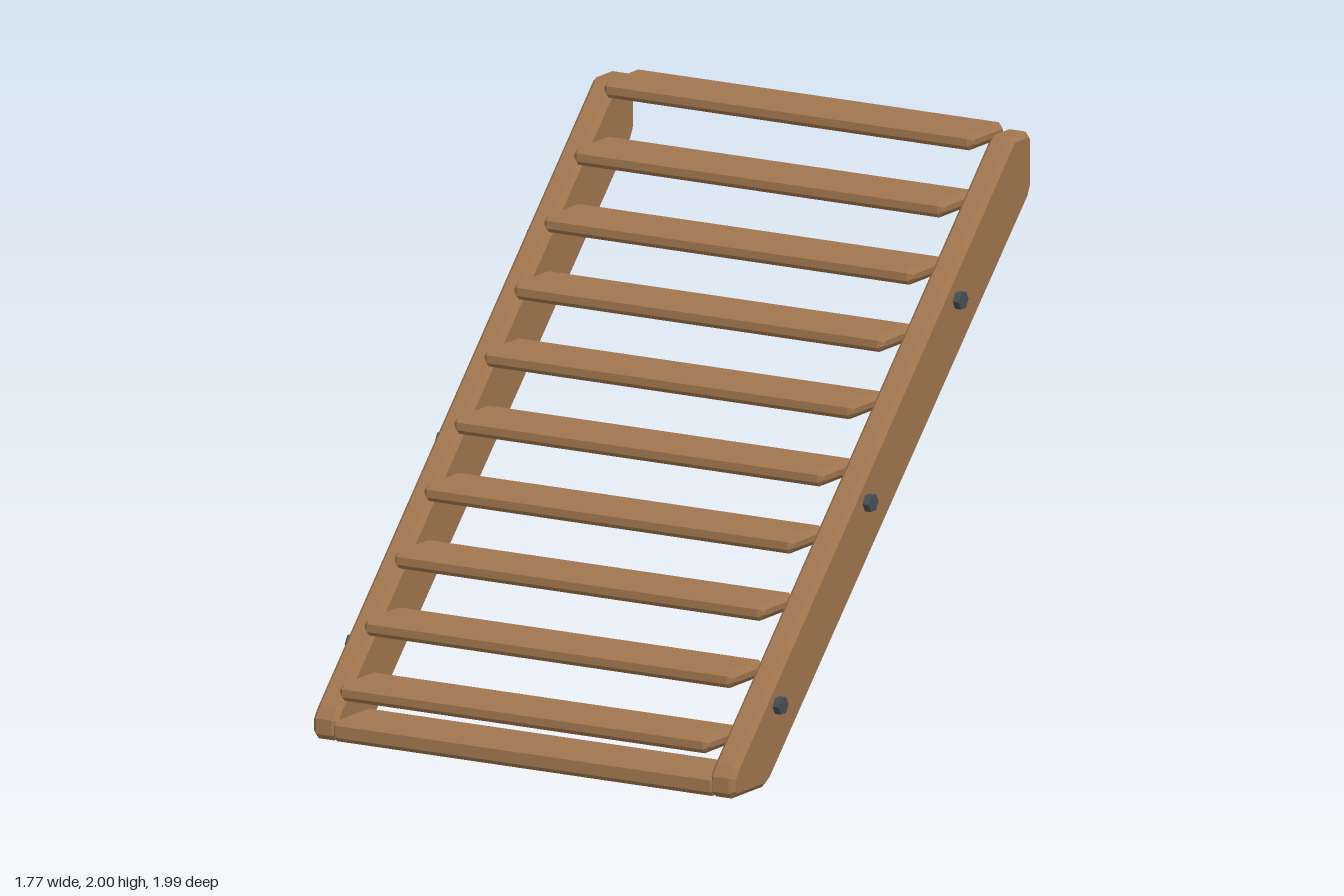
import * as THREE from 'three';

const wood = new THREE.MeshStandardMaterial({ color: 0xa0764e });
wood.name = 'wood';
const iron = new THREE.MeshStandardMaterial({ color: 0x474f57 });
iron.name = 'dark iron';

// Side profile given as [z, y] points, extruded along x with chamfered ends
function prism(name, profile, width, bevel) {
  const shape = new THREE.Shape(profile.map(([z, y]) => new THREE.Vector2(-z, y)));
  const geo = new THREE.ExtrudeGeometry(shape, {
    depth: width - 2 * bevel,
    bevelEnabled: true,
    bevelThickness: bevel,
    bevelSize: bevel,
    bevelOffset: -bevel,
    bevelSegments: 1,
  });
  geo.translate(0, 0, bevel - width / 2);
  geo.rotateY(Math.PI / 2);
  const mesh = new THREE.Mesh(geo, wood);
  mesh.name = name;
  return mesh;
}

// Rectangular profile with chamfered corners
function plankProfile(z0, z1, y0, y1, c = 0.016) {
  return [
    [z0 + c, y0], [z0, y0 + c], [z0, y1 - c], [z0 + c, y1],
    [z1 - c, y1], [z1, y1 - c], [z1, y0 + c], [z1 - c, y0],
  ];
}

export function createModel() {
  const stairs = new THREE.Group();
  stairs.name = 'staircase';

  // Sloping side beams with their bolts
  const beam = [
    [0.995, 0.02], [0.975, 0], [0.775, 0], [0.74, 0.02], [-0.975, 1.745],
    [-0.995, 1.785], [-0.995, 1.96], [-0.975, 1.98], [-0.87, 1.98],
    [0.965, 0.115], [0.995, 0.075],
  ];
  for (const [side, s] of [['left', 1], ['right', -1]]) {
    const stringer = prism(side + 'Stringer', beam, 0.1, 0.018);
    stringer.position.x = s * 0.81;
    stairs.add(stringer);

    for (let i = 0; i < 3; i++) {
      const geo = new THREE.CylinderGeometry(0.033, 0.033, 0.045, 6).toNonIndexed();
      geo.computeVertexNormals();
      const bolt = new THREE.Mesh(geo, iron);
      bolt.name = side + 'Bolt' + (i + 1);
      bolt.rotation.z = -s * Math.PI / 2;
      bolt.position.set(s * 0.8625, 0.28 + 0.6 * i, 0.7 - 0.598 * i);
      stairs.add(bolt);
    }
  }

  // Treads; the lowest stops flush with the beam front
  for (let i = 0; i < 10; i++) {
    const front = Math.min(0.995, 1.03 - 0.199 * i);
    const back = Math.max(-0.995, front - 0.228);
    const top = 0.209 + 0.199 * i;
    stairs.add(prism('tread' + (i + 1), plankProfile(back, front, top - 0.06, top), 1.51, 0.02));
  }

  // Board joining the feet of the beams
  stairs.add(prism('baseBoard', plankProfile(0.76, 0.995, 0, 0.075), 1.56, 0.016));

  return stairs;
}
